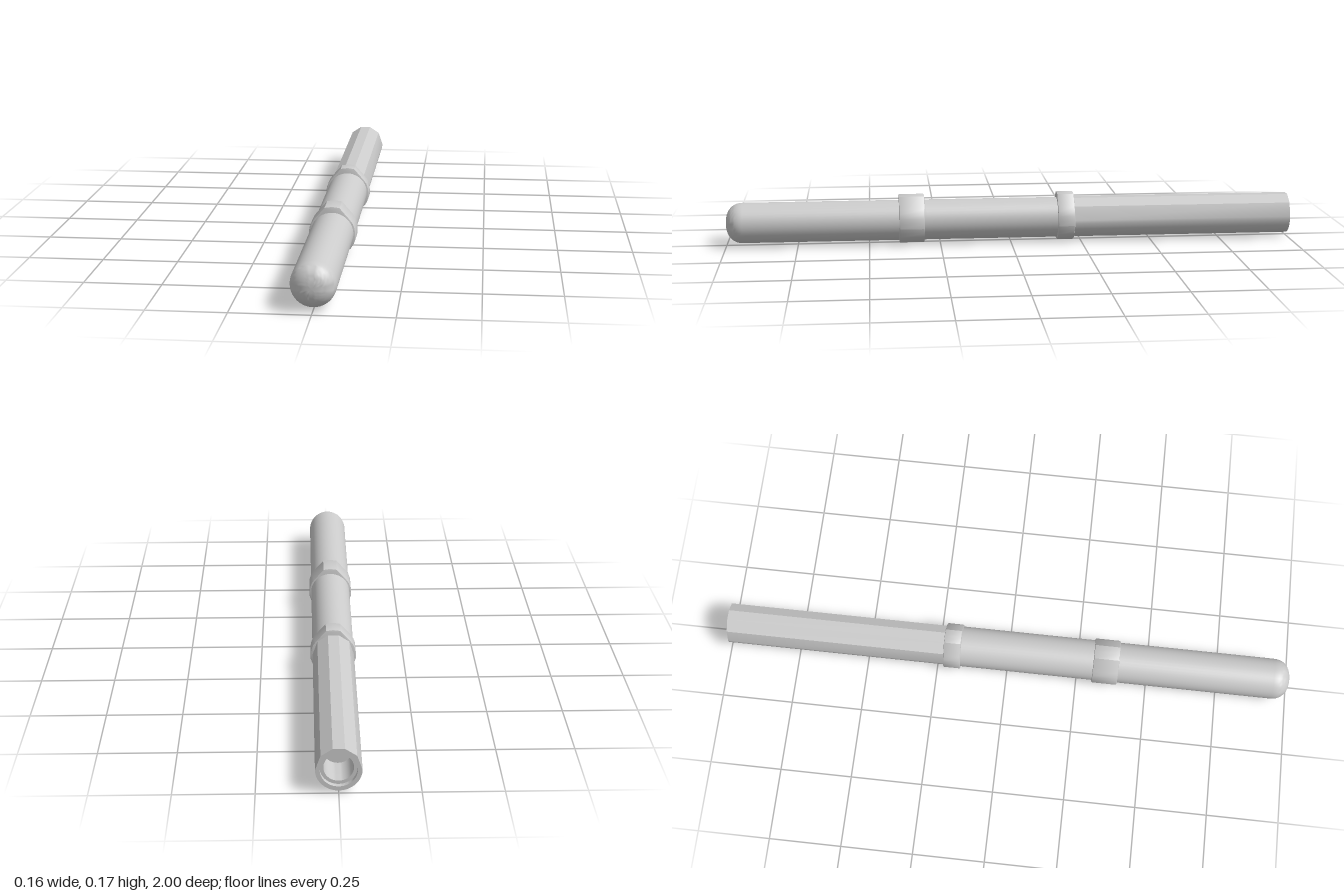
import * as THREE from 'three';
import { toCreasedNormals } from 'three/addons/utils/BufferGeometryUtils.js';

const AXIS_Y = 0.08; // height of the barrel's centre line
const R = 0.071; // barrel radius

export function createModel() {
  const group = new THREE.Group();
  const material = new THREE.MeshStandardMaterial({ color: 0xcccccc });

  const add = (name, geometry, crease = 0.5) => {
    const mesh = new THREE.Mesh(toCreasedNormals(geometry, crease), material);
    mesh.name = name;
    mesh.position.y = AXIS_Y;
    group.add(mesh);
  };

  // Turned part: pairs of [radius, z]
  const turned = (points) =>
    new THREE.LatheGeometry(points.map(([r, z]) => new THREE.Vector2(r, z)), 40).rotateX(Math.PI / 2);

  // Closed outline: upper points given for +x, mirrored, joined by a round underside
  const outline = (upper, radius, steps) => {
    const pts = upper.map(([x, y]) => new THREE.Vector2(x, y));
    for (const [x, y] of [...upper].reverse()) if (x > 1e-6) pts.push(new THREE.Vector2(-x, y));
    for (let i = 1; i < steps; i++) {
      const a = Math.PI + (Math.PI * i) / steps;
      pts.push(new THREE.Vector2(Math.cos(a) * radius, Math.sin(a) * radius));
    }
    return new THREE.Shape(pts);
  };

  // Round barrel with a domed front end
  const barrel = [[0, -0.2], [R, -0.2], [R, 0.3]];
  const dome = 0.06;
  for (let i = 0; i <= 12; i++) {
    const a = (i / 12) * (Math.PI / 2);
    const r = i === 12 ? 0 : R * Math.pow(Math.cos(a), 0.85);
    barrel.push([r, 1 - dome + dome * Math.pow(Math.sin(a), 0.9)]);
  }
  add('barrel', turned(barrel), 0.8);

  // Rear sleeve: faceted on top, round underneath, open at the back
  const facets = [0, 40, 75].map((deg) => {
    const a = THREE.MathUtils.degToRad(deg);
    return [Math.cos(a) * R, Math.sin(a) * (R + 0.003)];
  });
  const sleeve = outline(facets, R, 20);
  sleeve.holes.push(new THREE.Path().absarc(0, 0, 0.057, 0, Math.PI * 2, true));
  add('rearSleeve', new THREE.ExtrudeGeometry(sleeve, {
    depth: 0.8, bevelEnabled: false, curveSegments: 32,
  }).translate(0, 0, -1));

  // Stepped socket inside the open end
  add('rearSocket', turned([[0, -0.88], [0.046, -0.88], [0.046, -0.985], [0.058, -0.985]]));

  // Two collars with a raised, flat-sided top
  const collarTop = [[0.078, 0], [0.076, 0.017], [0.07, 0.034], [0.06, 0.048], [0.025, 0.088], [0, 0.092]];
  const bevel = 0.004;
  const collar = (name, z0, z1) =>
    add(name, new THREE.ExtrudeGeometry(outline(collarTop, 0.08, 14), {
      depth: z1 - z0 - 2 * bevel,
      bevelThickness: bevel, bevelSize: bevel, bevelOffset: -bevel, bevelSegments: 2,
    }).translate(0, 0, z0 + bevel));
  collar('frontCollar', 0.305, 0.395);
  collar('rearCollar', -0.225, -0.165);

  return group;
}
